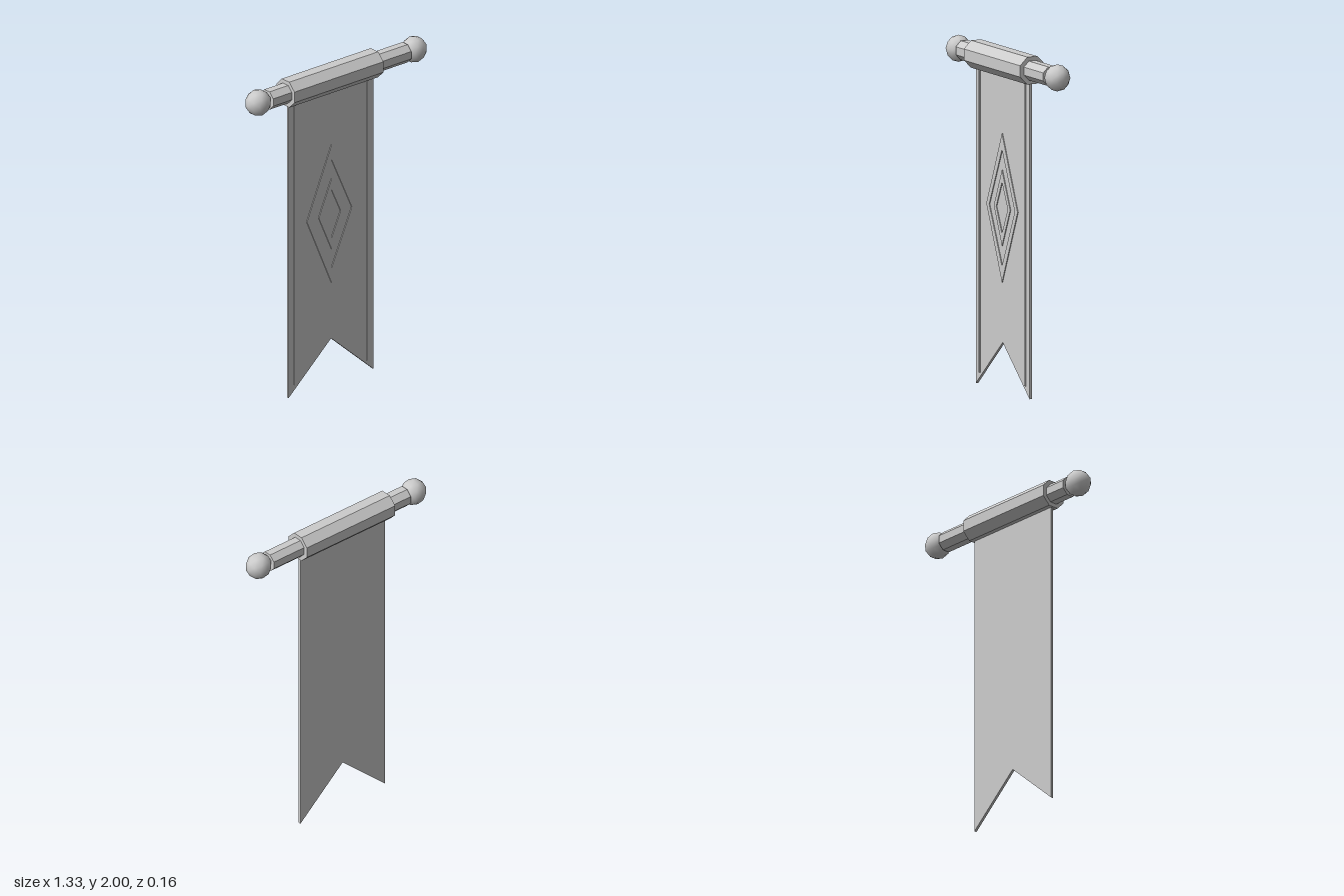
import * as THREE from 'three';

export function createModel() {
  const group = new THREE.Group();
  const grey = new THREE.MeshStandardMaterial({ color: 0xcccccc });
  const rodY = 1.92, rodZ = -0.002, midX = -0.045;

  const add = (name, geometry, x = 0, y = 0, z = 0) => {
    const mesh = new THREE.Mesh(geometry, grey);
    mesh.name = name;
    mesh.position.set(x, y, z);
    group.add(mesh);
    return mesh;
  };

  // Octagonal bar along x with flat top, given the half-height across flats
  const bar = (name, x0, x1, apothem) => {
    const r = apothem / Math.cos(Math.PI / 8);
    const g = new THREE.CylinderGeometry(r, r, x1 - x0, 8).toNonIndexed();
    g.rotateY(Math.PI / 8).rotateZ(Math.PI / 2);
    g.computeVertexNormals();
    add(name, g, (x0 + x1) / 2, rodY, rodZ);
  };
  bar('rod', -0.52, 0.52, 0.056);
  bar('rodSleeve', -0.38, 0.29, 0.08);

  // Faceted end knobs
  for (const [name, x] of [['rightKnob', -0.587], ['leftKnob', 0.587]]) {
    const g = new THREE.IcosahedronGeometry(0.079, 1);
    g.rotateY(Math.PI / 2).scale(1, 1, 0.93);
    add(name, g, x, rodY, rodZ);
  }

  const polygon = (points, Type = THREE.Shape) =>
    new Type(points.map(([x, y]) => new THREE.Vector2(x, y)));
  const extrude = (shape, depth) =>
    new THREE.ExtrudeGeometry(shape, { depth, bevelEnabled: false });

  // Swallow-tailed cloth
  const cloth = polygon([[-0.365, 0], [midX, 0.285], [0.275, 0], [0.275, 1.88], [-0.365, 1.88]]);
  add('cloth', extrude(cloth, 0.016), 0, 0, -0.008);

  // Thin raised stripes beside the cloth edges
  for (const side of [-1, 1]) {
    add('edgeStripe', new THREE.BoxGeometry(0.014, 1.77, 0.006), midX + side * 0.272, 0.955, 0.01);
  }

  // Raised nested diamond frames: outer and inner half-width and half-height
  const diamond = (w, h, Type) => polygon([[w, 0], [0, h], [-w, 0], [0, -h]], Type);
  for (const [w, h, iw, ih] of [[0.186, 0.435, 0.152, 0.34], [0.097, 0.222, 0.068, 0.15]]) {
    const frame = diamond(w, h);
    frame.holes.push(diamond(iw, ih, THREE.Path));
    add('diamondFrame', extrude(frame, 0.006), midX, 1.07, 0.007);
  }

  return group;
}
